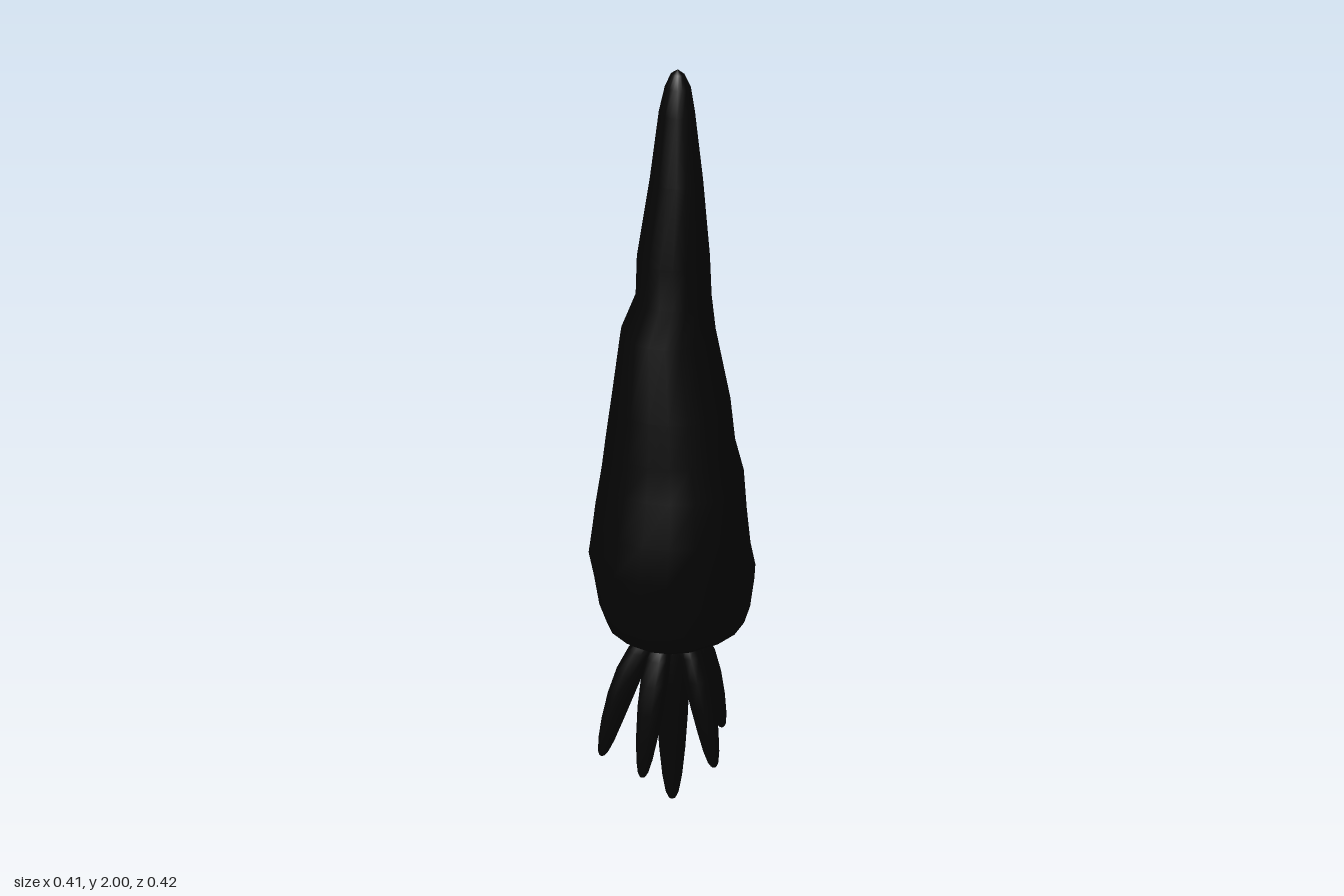
import * as THREE from 'three';

const SIDES = 18;
const material = new THREE.MeshStandardMaterial({ color: 0x040404 });

// One closed horizontal ring of n points, placed by a function of the angle
function ring(n, place) {
  return Array.from({ length: n }, (_, j) => place(j / n * Math.PI * 2));
}

// Skin a list of equal rings, ordered from bottom to top
function skin(rings, name) {
  const n = rings[0].length, index = [];
  for (let i = 0; i < rings.length - 1; i++) {
    for (let j = 0; j < n; j++) {
      const a = i * n + j, b = i * n + (j + 1) % n;
      index.push(a, a + n, b, b, a + n, b + n);
    }
  }
  const geometry = new THREE.BufferGeometry().setFromPoints(rings.flat());
  geometry.setIndex(index);
  geometry.computeVertexNormals();
  const mesh = new THREE.Mesh(geometry, material);
  mesh.name = name;
  return mesh;
}

// Root cross-sections, bottom to top: height, reach towards -x, +x, -z, +z
const sections = [
  [0.535, 0.001, 0.001, 0.001, 0.001],
  [0.51, 0.05, 0.05, 0.05, 0.05],
  [0.515, 0.07, 0.075, 0.075, 0.075],
  [0.53, 0.085, 0.09, 0.09, 0.085],
  [0.54, 0.13, 0.14, 0.155, 0.14],
  [0.57, 0.16, 0.18, 0.185, 0.175],
  [0.62, 0.18, 0.195, 0.2, 0.19],
  [0.7, 0.193, 0.202, 0.212, 0.2],
  [0.77, 0.203, 0.204, 0.195, 0.21],
  [0.87, 0.19, 0.202, 0.178, 0.197],
  [0.98, 0.173, 0.187, 0.17, 0.18],
  [1.07, 0.158, 0.172, 0.143, 0.167],
  [1.18, 0.142, 0.152, 0.125, 0.15],
  [1.36, 0.115, 0.106, 0.098, 0.123],
  [1.45, 0.085, 0.1, 0.086, 0.09],
  [1.55, 0.083, 0.094, 0.084, 0.085],
  [1.74, 0.055, 0.076, 0.064, 0.055],
  [1.9, 0.034, 0.054, 0.046, 0.034],
  [1.96, 0.02, 0.043, 0.036, 0.021],
  [1.99, 0.006, 0.027, 0.022, 0.007],
  [2, -0.0095, 0.0105, 0.0085, -0.0075],
];

// Soft dents and bulges: angle, height, amount
const lumps = [
  [Math.PI / 4, 1.06, -0.1],
  [-Math.PI / 4, 1.27, 0.12],
  [-Math.PI * 0.75, 0.78, -0.03],
];

function lumpScale(angle, y) {
  return lumps.reduce((k, [a, h, amount]) => {
    const around = Math.max(0, Math.cos(angle - a)) ** 8;
    return k + amount * around * Math.exp(-(((y - h) / 0.13) ** 2));
  }, 1);
}

function buildRoot() {
  const rings = sections.map(([y, left, right, back, front]) => {
    const cx = (right - left) / 2, cz = (front - back) / 2;
    const rx = (right + left) / 2, rz = (front + back) / 2;
    return ring(SIDES, a => {
      const k = lumpScale(a, y);
      return new THREE.Vector3(cx + rx * k * Math.cos(a), y, cz + rz * k * Math.sin(a));
    });
  });
  return skin(rings, 'root');
}

// Stalk thickness from tip to crown: position along the stalk, radius
const swell = [[1, 0.0005], [0.995, 0.009], [0.97, 0.017], [0.9, 0.026], [0.78, 0.034],
  [0.6, 0.041], [0.4, 0.043], [0.2, 0.037], [0.08, 0.03], [0, 0.018]];

// Stalk: swelling and tapering round a bent line between crown and tip
function buildStalk([x, y, z], width, name) {
  const curve = new THREE.QuadraticBezierCurve3(
    new THREE.Vector3(x * 0.3, 0.525, z * 0.3),
    new THREE.Vector3(x * 0.66, 0.42, z * 0.66),
    new THREE.Vector3(x, y, z));
  const rings = swell.map(([t, r]) => {
    const p = curve.getPoint(t);
    return ring(10, a => new THREE.Vector3(
      p.x + r * width * Math.cos(a), p.y, p.z + r * width * Math.sin(a)));
  });
  return skin(rings, name);
}

export function createModel() {
  const model = new THREE.Group();
  model.name = 'carrot';
  model.add(buildRoot());

  const stalks = new THREE.Group();
  stalks.name = 'stalks';
  stalks.add(buildStalk([0, 0, 0], 1.05, 'centreStalk'));
  const tips = [[-0.085, 0.16, 0.165], [0.045, 0.15, 0.13], [0.132, 0.16, -0.035],
    [-0.01, 0.15, -0.173], [-0.112, 0.13, -0.07]];
  tips.forEach((tip, i) => stalks.add(buildStalk(tip, 0.84, 'outerStalk' + (i + 1))));
  model.add(stalks);
  return model;
}
